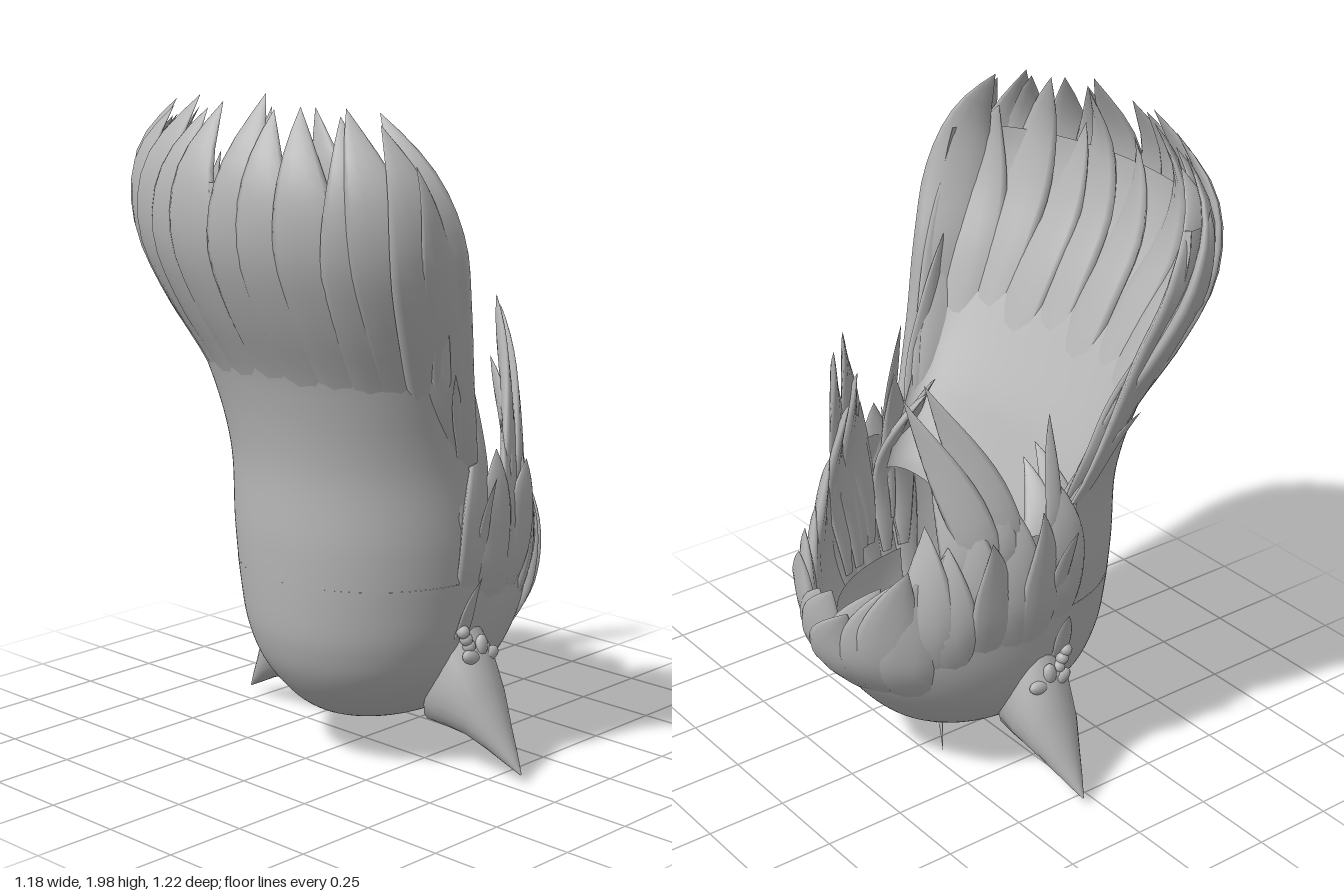
import * as THREE from 'three';

const V = (x, y, z) => new THREE.Vector3(x, y, z);
const rad = THREE.MathUtils.degToRad;
const lerp = THREE.MathUtils.lerp;
const step = THREE.MathUtils.smoothstep;

// Profile rows: height, half width, front z, centre z, rear z
const bowl = [
  [0.115, 0.001, -0.05, -0.051, -0.052], [0.125, 0.1, 0.08, -0.06, -0.2], [0.15, 0.18, 0.165, -0.06, -0.28],
  [0.2, 0.25, 0.24, -0.05, -0.36], [0.3, 0.33, 0.32, -0.04, -0.45], [0.4, 0.37, 0.36, -0.03, -0.52],
  [0.5, 0.39, 0.375, -0.02, -0.555],
];
const bodyRows = [...bowl, [0.7, 0.41, 0.385, 0, -0.55], [0.95, 0.4, 0.385, 0, -0.5], [1.4, 0.25, 0.3, -0.05, -0.45]];
const tailRows = [...bowl, [0.7, 0.41, 0.385, 0, -0.55], [0.95, 0.42, 0.385, 0.03, -0.5], [1.2, 0.455, 0.435, 0.13, -0.2],
  [1.4, 0.51, 0.515, 0.2, -0.1], [1.6, 0.555, 0.58, 0.26, 0], [1.8, 0.53, 0.57, 0.3, 0.1], [2.0, 0.39, 0.46, 0.31, 0.2]];
// Inner face of the long sheet
const innerRows = [[0.6, 0.3, 0.0, -0.18, -0.2], [0.8, 0.34, 0.06, -0.1, -0.2], [1.0, 0.39, 0.15, 0.02, 0],
  [1.2, 0.44, 0.27, 0.12, 0], [1.4, 0.495, 0.39, 0.19, 0], [1.6, 0.54, 0.5, 0.25, 0], [1.8, 0.515, 0.53, 0.29, 0],
  [2.0, 0.36, 0.44, 0.3, 0]];

// Point on a hair surface: angle a runs from the front (+z) toward +x
function surface(rows) {
  return (a, y) => {
    let i = 0;
    while (i < rows.length - 2 && y > rows[i + 1][0]) i++;
    const p = rows[i], q = rows[i + 1];
    const t = THREE.MathUtils.clamp((y - p[0]) / (q[0] - p[0]), 0, 1), t2 = t * t, t3 = t2 * t, h = q[0] - p[0];
    // Cubic blend through the neighbouring rows
    const o = rows[Math.max(i - 1, 0)], r = rows[Math.min(i + 2, rows.length - 1)];
    const [w, f, c, b] = [1, 2, 3, 4].map((k) => {
      if (i < 2) return lerp(p[k], q[k], t);
      const m0 = (q[k] - o[k]) / (q[0] - o[0]) * h, m1 = (r[k] - p[k]) / (r[0] - p[0]) * h;
      return (2 * t3 - 3 * t2 + 1) * p[k] + (t3 - 2 * t2 + t) * m0 + (3 * t2 - 2 * t3) * q[k] + (t3 - t2) * m1;
    });
    const cs = Math.cos(a), shift = 0.02 * (1 - step(y, 1.1, 1.6));
    return V(w * Math.sin(a) + shift, y, c + (cs > 0 ? f - c : c - b) * cs);
  };
}
const body = surface(bodyRows), tail = surface(tailRows), inner = surface(innerRows);
const lining = (a, y) => body(a, y).sub(V(0.02, y, -0.05)).multiplyScalar(0.84).add(V(0.02, y, -0.05));

// Skin a list of cross-sections
function loft(rings, closed) {
  const n = rings[0].length, pos = [], idx = [];
  rings.forEach((r) => r.forEach((p) => pos.push(p.x, p.y, p.z)));
  for (let i = 0; i < rings.length - 1; i++) {
    for (let j = 0; j < (closed ? n : n - 1); j++) {
      const k = (j + 1) % n, a = i * n + j, b = i * n + k, c = a + n, d = b + n;
      idx.push(a, b, d, a, d, c);
    }
  }
  const g = new THREE.BufferGeometry();
  g.setAttribute('position', new THREE.Float32BufferAttribute(pos, 3));
  g.setIndex(idx);
  g.computeVertexNormals();
  return g;
}

// Open sheet over a hair surface between a lower and an upper edge
function sheet(surf, a0, a1, low, high, cols = 72, rowsN = 40) {
  const rings = [];
  for (let i = 0; i <= rowsN; i++) {
    rings.push(Array.from({ length: cols + 1 }, (_, j) => {
      const a = rad(lerp(a0, a1, j / cols));
      return surf(a, lerp(low(a), high(a), (i / rowsN) ** 1.3));
    }));
  }
  return loft(rings, false);
}

// Tapered lens-shaped lock: its root sinks into the surface (face -1 = inner side), its tip is free
function lock(surf, { a0, a1, y0, y1, w, thick, lift = 0, twist = 0, face = 1 }) {
  const N = 18, path = [], side = [];
  for (let i = 0; i <= N; i++) {
    const t = i / N, a = rad(lerp(a0, a1, t * t)), y = lerp(y0, y1, t);
    const p = surf(a, y), s = surf(a + 0.02, y).sub(surf(a - 0.02, y)).normalize();
    const out = V(-s.z, 0, s.x);
    p.addScaledVector(out, face * -0.045 * (1 - step(t, 0, 0.55)) + lift * t ** 3);
    path.push(p); side.push(s);
  }
  const rings = path.map((p, i) => {
    const t = i / N;
    const dir = path[Math.min(i + 1, N)].clone().sub(path[Math.max(i - 1, 0)]).normalize();
    const s = side[i].clone().addScaledVector(dir, -side[i].dot(dir)).normalize().applyAxisAngle(dir, twist * t * t);
    const n = s.clone().cross(dir).normalize();
    const k = t < 0.6 ? lerp(0.3, 1, Math.sin(t / 0.6 * Math.PI / 2)) : 1 - ((t - 0.6) / 0.4) ** 1.8;
    return Array.from({ length: 10 }, (_, j) => {
      const q = j / 10 * Math.PI * 2;
      return p.clone().addScaledVector(s, Math.cos(q) * w * k).addScaledVector(n, Math.sin(q) * thick * k);
    });
  });
  return loft(rings, true);
}

export function createModel() {
  const model = new THREE.Group();
  const hair = new THREE.MeshStandardMaterial({ color: 0xb6b6b6, side: THREE.DoubleSide });
  hair.name = 'hairGrey';
  const add = (name, geo, parent = model) => {
    const m = new THREE.Mesh(geo, hair);
    m.name = name;
    parent.add(m);
    return m;
  };

  // Cap, its lining and the long sheet
  const rim = (a) => {
    const d = Math.abs(THREE.MathUtils.radToDeg(a));
    return d <= 90 ? 0.6 : lerp(lerp(0.6, 0.88, step(d, 90, 100)), 0.52, step(d, 128, 158));
  };
  add('cap', sheet(body, -180, 180, () => 0.115, rim, 120, 40));
  add('capLining', sheet(lining, 95, 265, () => 0.22, () => 0.5));
  add('longSheet', sheet(tail, -90, 90, () => 0.6, () => 1.76));
  add('longSheetInner', sheet(inner, -90, 90, (a) => 0.62 + 0.17 * Math.abs(Math.sin(a)), () => 1.76));
  // Strip joining the outer and inner faces at each side
  for (const sgn of [-1, 1]) {
    const a = rad(90 * sgn);
    const rings = Array.from({ length: 17 }, (_, i) => lerp(0.8, 1.76, i / 16)).map((y) => [tail(a, y), inner(a, y)]);
    add('sheetEdge', loft(rings, false));
  }

  // Long outer locks: broad, merged below, with pointed tips bending inward
  const tips = [1.93, 1.96, 1.94, 1.98, 1.95, 1.97, 2.0, 1.96, 1.97, 1.95, 1.97, 1.93];
  tips.forEach((y1, i) => {
    const a0 = lerp(-80, 80, i / 11);
    add('longLock', lock(tail, { a0, a1: a0 * 0.88 + 5 * Math.sin(i * 2.3), y0: 0.9, y1, w: 0.105, thick: 0.026, twist: 0.3 }));
  });
  for (let i = 0; i < 10; i++) {
    const a0 = lerp(-82, 82, i / 9);
    add('innerLock', lock(inner, {
      a0, a1: a0 * 0.9 + 7 * Math.sin(i * 1.7), y0: 0.95, y1: 1.9 + 0.07 * Math.sin(i * 2.9), w: 0.1, thick: 0.024, twist: -0.5, face: -1 }));
  }

  // Locks that repeat on both sides: [start angle, end angle, root, tip, half width, lift, twist]
  const sideLocks = [
    [90, 94, 0.35, 1.08, 0.07, 0.01, 0.4], [99, 100, 0.32, 0.98, 0.07, 0.03, -0.5], [106, 112, 0.3, 1.04, 0.08, 0.0, 0.5],
    [113, 118, 0.35, 0.92, 0.07, 0.04, -0.6], [119, 126, 0.32, 1.02, 0.08, 0.0, 0.6], [127, 132, 0.3, 0.9, 0.08, 0.0, 0.5],
    [108, 136, 0.55, 1.37, 0.065, 0.02, 0.8], [115, 146, 0.5, 1.33, 0.065, 0.02, 0.7], [112, 126, 0.55, 1.2, 0.065, -0.03, 0.9],
    [122, 138, 0.5, 1.13, 0.06, -0.05, 0.6], [133, 141, 0.28, 0.95, 0.08, -0.02, 0.5], [92, 84, 0.5, 1.1, 0.06, -0.12, 0.8],
    [100, 92, 0.5, 1.06, 0.06, -0.14, 0.8], [97, 90, 0.6, 1.25, 0.025, 0.05, 0.4],
    [94, 92, 0.5, 0.92, 0.025, 0.08, 0.3], [84, 90, 0.3, 0.62, 0.03, 0.04, 0.3],
  ];
  const tailSide = [
    [84, 80, 0.9, 1.83, 0.06, 0.03, 0.3], [86, 86, 0.85, 1.72, 0.06, -0.02, 0.3], [88, 90, 0.8, 1.45, 0.05, -0.04, 0.4],
    [88, 84, 0.8, 1.25, 0.025, 0.05, 0.3],
  ];
  for (const s of [-1, 1]) {
    for (const [list, surf, name] of [[sideLocks, body, 'sideLock'], [tailSide, tail, 'outerLock']]) {
      for (const [a0, a1, y0, y1, w, lift, tw] of list) {
        add(name, lock(surf, { a0: a0 * s, a1: a1 * s, y0, y1: y1 - (s < 0 ? 0.02 : 0), w, thick: w * 0.28, lift, twist: tw * s }));
      }
    }
  }

  // Fringe swept to one side
  const fringe = [[138, 143, 0.8], [146, 150, 0.76], [152, 162, 0.74], [160, 174, 0.66], [169, 186, 0.7], [178, 196, 0.66],
    [188, 206, 0.74], [198, 213, 0.78], [207, 216, 0.82], [216, 220, 0.78]];
  fringe.forEach(([a0, a1, y1], i) => {
    add('fringeLock', lock(body, { a0, a1, y0: 0.2, y1, w: 0.09, thick: 0.025, lift: 0.02 * (i % 3), twist: 0.45 }));
  });

  // Pointed ears: lower point, upper point, depth
  const earRings = [[0.22, 0.13, 0.37, 0.47, 0.09], [0.31, 0.128, 0.41, 0.4, 0.1], [0.39, 0.122, 0.455, 0.29, 0.085],
    [0.46, 0.095, 0.502, 0.18, 0.052], [0.52, 0.065, 0.54, 0.105, 0.025], [0.566, 0.043, 0.568, 0.046, 0.002]];
  for (const s of [-1, 1]) {
    const rings = earRings.map(([lx, ly, ux, uy, d]) => Array.from({ length: 20 }, (_, j) => {
      const q = j / 20 * Math.PI * 2, m = (1 + Math.sin(q)) / 2;
      return V(s * lerp(lx, ux, m) + 0.02, lerp(ly, uy, m), -0.045 + Math.cos(q) * d);
    }));
    add('ear', loft(rings, true));

    // Flower ornament above the ear
    const flower = new THREE.Group();
    flower.name = 'flower';
    flower.position.x = s * 0.405 + 0.02;
    for (let i = 0; i < 5; i++) {
      const q = i / 5 * Math.PI * 2 + 0.4;
      const petal = add('petal', new THREE.SphereGeometry(1, 14, 10), flower);
      petal.scale.set(0.018, 0.022, 0.036);
      petal.position.set(0, 0.355 + Math.sin(q) * 0.042, -0.045 + Math.cos(q) * 0.042);
      petal.rotation.x = -q;
    }
    for (let i = 0; i < 4; i++) {
      const bead = add('bud', new THREE.SphereGeometry(0.02, 12, 8), flower);
      bead.position.set(-s * 0.01, 0.38 + i * 0.024, -0.02 + i * 0.013);
    }
    model.add(flower);
  }

  // Thin stray hairs beneath the crown
  for (const [x, y, z] of [[-0.07, 0.02, -0.21], [0.02, 0.06, -0.17], [-0.03, 0.08, -0.19]]) {
    const curve = new THREE.QuadraticBezierCurve3(V(0.01, 0.15, -0.17), V(-0.02, 0.1, -0.18), V(x, y, z));
    const rings = Array.from({ length: 9 }, (_, i) => {
      const p = curve.getPoint(i / 8), r = 0.012 * (1 - i / 8) + 0.0005;
      return Array.from({ length: 6 }, (_, j) => V(p.x + r * Math.cos(j * Math.PI / 3), p.y, p.z + r * Math.sin(j * Math.PI / 3)));
    });
    add('strayHair', loft(rings, true));
  }
  return model;
}
